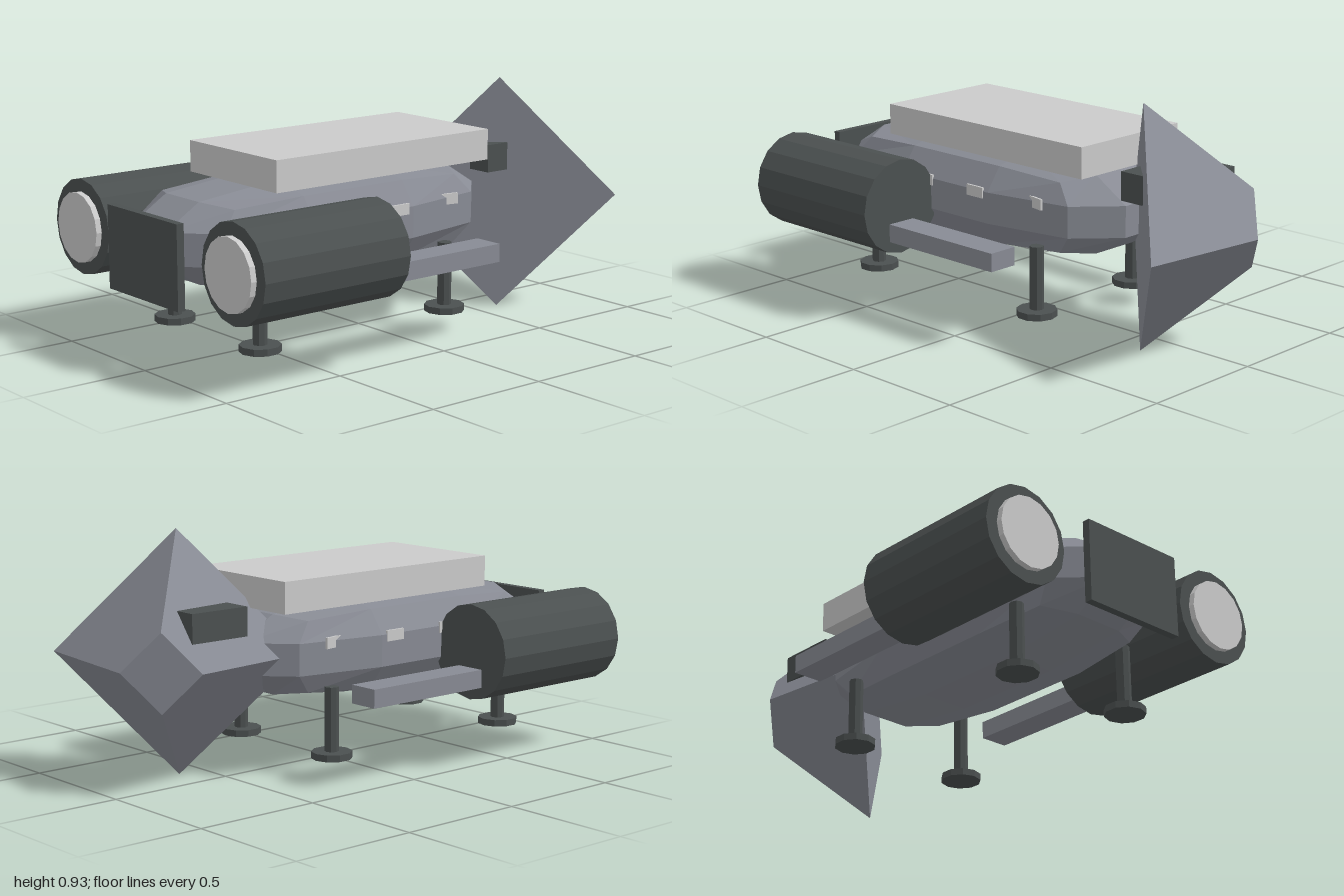
import * as THREE from 'three';

const paint = (name, color) => {
  const m = new THREE.MeshStandardMaterial({ color, flatShading: true });
  m.name = name;
  return m;
};

export function createModel() {
  const grey = paint('hull grey', 0x888b94);
  const dark = paint('dark metal', 0x4b5050);
  const light = paint('light grey', 0xcbcbcb);
  const model = new THREE.Group();
  model.name = 'shuttle';

  const add = (name, geometry, material, x, y, z) => {
    const mesh = new THREE.Mesh(geometry, material);
    mesh.name = name;
    mesh.position.set(x, y, z);
    model.add(mesh);
    return mesh;
  };
  const box = (name, material, w, h, d, x, y, z) =>
    add(name, new THREE.BoxGeometry(w, h, d), material, x, y, z);

  // Hull: a 3x3x3 box whose edges and corners are pulled in
  const hull = new THREE.BoxGeometry(2, 2, 2, 3, 3, 3);
  const p = hull.attributes.position;
  const pull = [0, 1, 0.8, 0.71];
  for (let i = 0; i < p.count; i++) {
    const v = [p.getX(i), p.getY(i), p.getZ(i)];
    const outer = v.filter((c) => Math.abs(c) > 0.9).length;
    const [x, y, z] = v.map((c) => Math.sign(c) * (Math.abs(c) > 0.9 ? pull[outer] : 0.32));
    p.setXYZ(i, x * 0.322, y * 0.19, z * 0.735);
  }
  hull.computeVertexNormals();
  add('hull', hull, grey, 0, 0.465, 0.235);

  // Roof slab and nose plate
  box('roofSlab', light, 0.535, 0.12, 1.03, 0, 0.705, 0.085);
  box('nosePlate', dark, 0.44, 0.315, 0.03, 0, 0.423, 0.985);

  // Four-sided tail cone, set diagonally, with a cross block through it
  const tail = new THREE.CylinderGeometry(0.148, 0.467, 0.403, 4);
  tail.rotateX(-Math.PI / 2).rotateY(Math.PI / 4);
  add('tailCone', tail, grey, -0.002, 0.47, -0.753);
  box('tailBlock', dark, 0.34, 0.11, 0.25, -0.005, 0.62, -0.655);

  const zCylinder = (r, h) => new THREE.CylinderGeometry(r, r, h, 16).rotateX(Math.PI / 2);
  for (const s of [-1, 1]) {
    // Engine pod with a pale front cap and a rear boom
    add('enginePod', zCylinder(0.184, 0.64), dark, s * 0.48, 0.445, 0.63);
    add('engineCap', zCylinder(0.135, 0.04), light, s * 0.48, 0.445, 0.953);
    box('engineBoom', grey, 0.12, 0.07, 0.57, s * 0.48, 0.35, 0.045);

    // Landing legs
    for (const z of [0.682, -0.207]) {
      add('legPost', new THREE.CylinderGeometry(0.027, 0.027, 0.25, 8), dark, s * 0.27, 0.225, z);
      add('legFoot', new THREE.CylinderGeometry(0.078, 0.078, 0.026, 10), dark, s * 0.27, 0.091, z);
    }

    // Side windows, turned to follow the hull
    for (const [z, x, turn] of [[-0.21, 0.283, -0.182], [0.065, 0.322, 0], [0.34, 0.322, 0]]) {
      const w = box('window', light, 0.009, 0.042, 0.084, s * x, 0.52, z);
      w.rotation.y = s * turn;
    }
  }
  return model;
}
